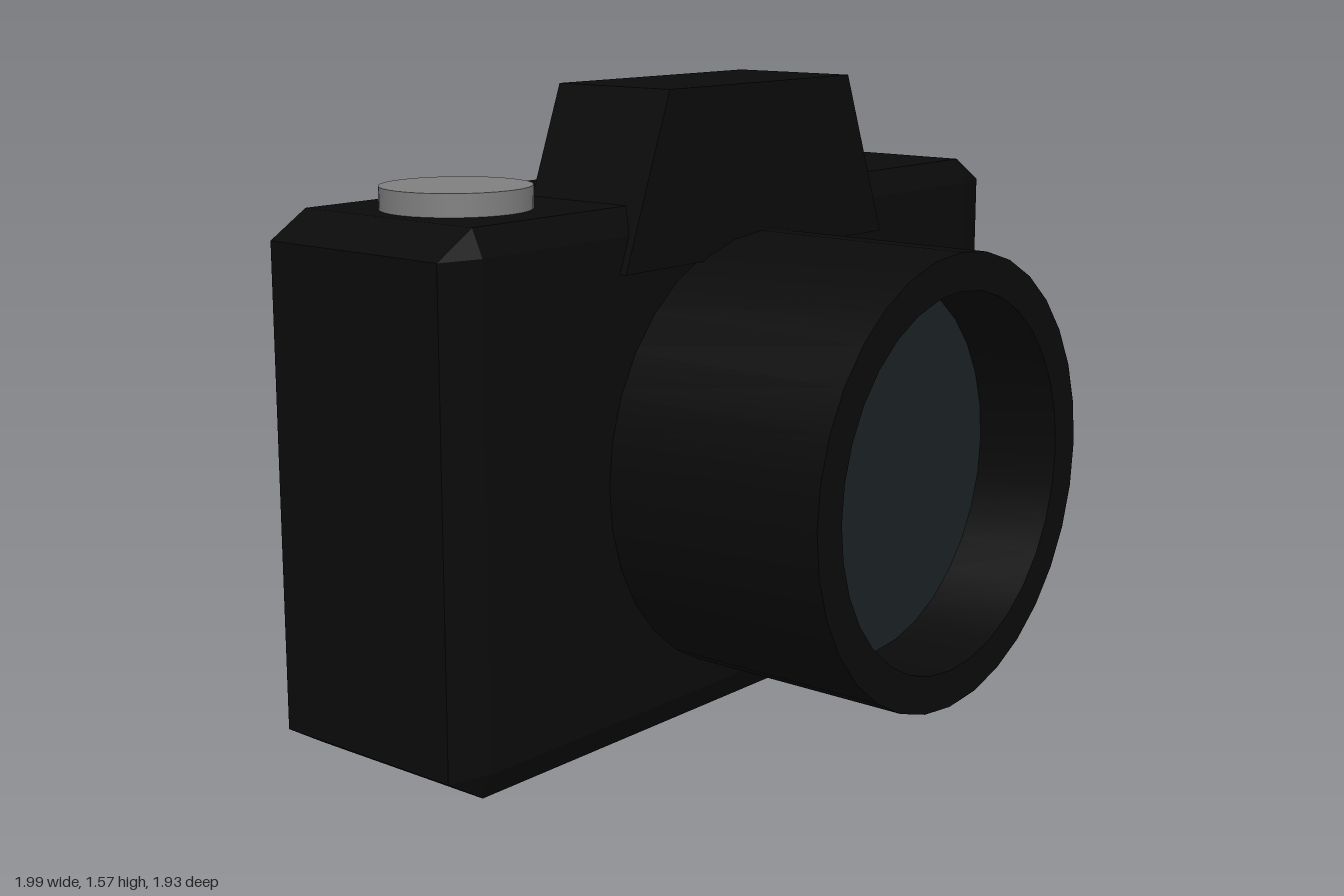
import * as THREE from 'three';
import { toCreasedNormals } from 'three/addons/utils/BufferGeometryUtils.js';
import { ConvexGeometry } from 'three/addons/geometries/ConvexGeometry.js';

const CX = 0.049; // body centre line
const LENS_Y = 0.65;

const black = new THREE.MeshStandardMaterial({ color: 0x0a0a0a });
const glassMat = new THREE.MeshStandardMaterial({ color: 0x1c2224 });
const metal = new THREE.MeshStandardMaterial({ color: 0x808080 });

// Box with every edge chamfered in proportion to its size
function chamferedBox(w, h, d, k) {
  const half = [w / 2, h / 2, d / 2];
  const points = [];
  for (const sx of [-1, 1]) for (const sy of [-1, 1]) for (const sz of [-1, 1]) {
    for (let face = 0; face < 3; face++) {
      const c = [sx, sy, sz].map((s, i) => s * half[i] * (i === face ? 1 : 1 - 2 * k));
      points.push(new THREE.Vector3(...c));
    }
  }
  return new ConvexGeometry(points);
}

export function createModel() {
  const model = new THREE.Group();
  model.name = 'camera';
  const add = (name, geometry, material, x, y, z) => {
    const mesh = new THREE.Mesh(geometry, material);
    mesh.name = name;
    mesh.position.set(x, y, z);
    model.add(mesh);
    return mesh;
  };

  // Body
  add('body', chamferedBox(2.127, 1.302, 0.601, 0.05), black, CX, 0.651, -0.071);

  // Viewfinder hump, overhanging the front of the body
  const hump = new THREE.Shape([
    new THREE.Vector2(-0.512, 1.15), new THREE.Vector2(0.512, 1.15),
    new THREE.Vector2(0.355, 1.567), new THREE.Vector2(-0.355, 1.567),
  ]);
  add('viewfinderHump', new THREE.ExtrudeGeometry(hump, { depth: 0.348, bevelEnabled: false }),
    black, CX, 0, -0.1);

  // Lens barrel with a recessed opening
  const profile = [[0.552, 0.1], [0.552, 0.829], [0.46, 0.829], [0.46, 0.6]]
    .map(([r, z]) => new THREE.Vector2(r, z));
  const barrel = new THREE.LatheGeometry(profile, 32).rotateX(Math.PI / 2);
  add('lensBarrel', toCreasedNormals(barrel, 0.5), black, CX, LENS_Y, 0);
  add('lensGlass', new THREE.CircleGeometry(0.462, 32), glassMat, CX, LENS_Y, 0.61);

  // Shutter button
  add('shutterButton', new THREE.CylinderGeometry(0.178, 0.178, 0.1, 32), metal, -0.689, 1.306, -0.071);

  model.rotation.y = 0.69; // stands turned to its left
  const group = new THREE.Group();
  group.add(model);
  return group;
}
